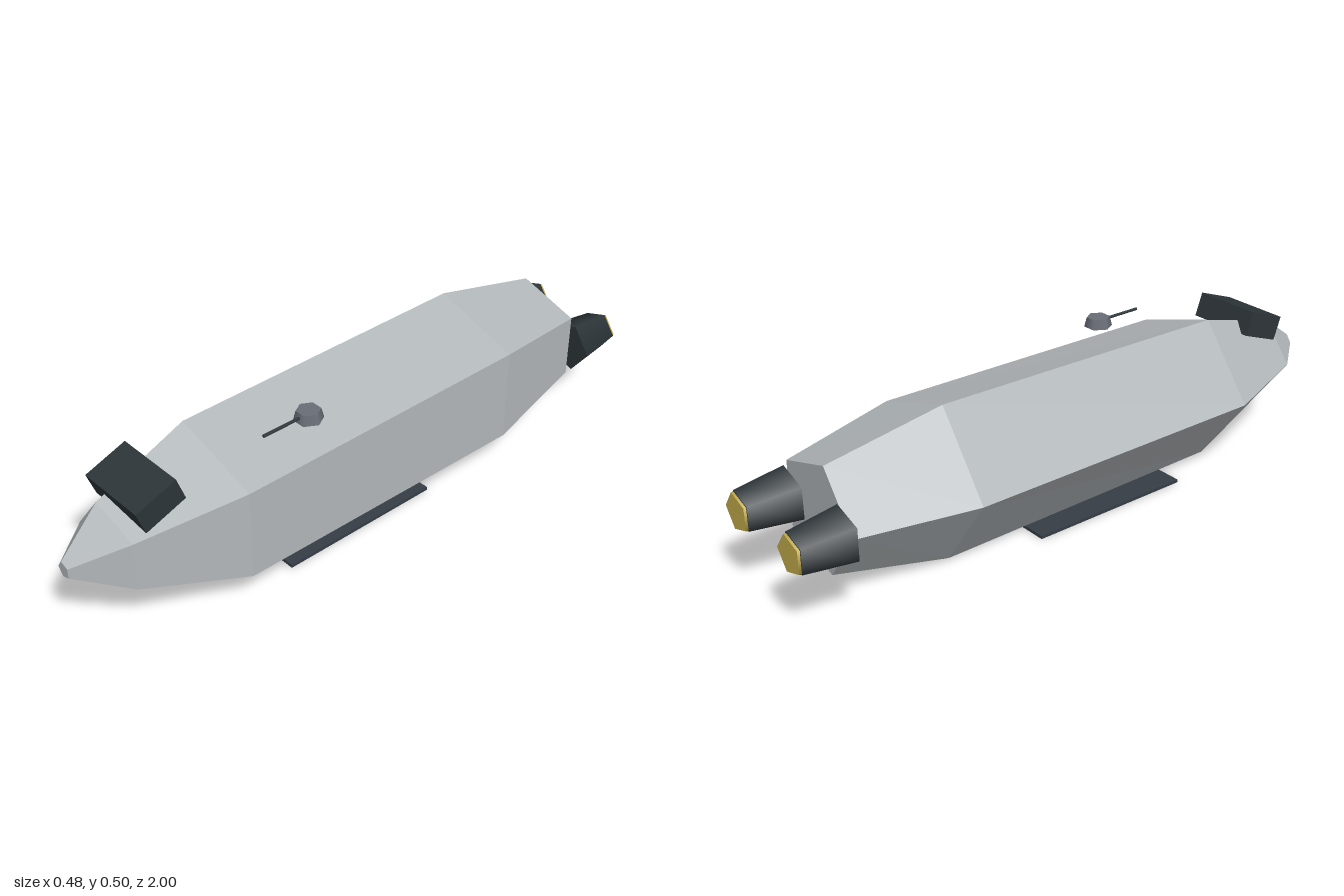
import * as THREE from 'three';

const CX = 0.014; // centreline of the hull

const mat = (name, color, extra = {}) => {
  const m = new THREE.MeshStandardMaterial({ color, ...extra });
  m.name = name;
  return m;
};

// Five-sided hull lofted through stations of [z, rx, ry, yCentre], rear to front
function hullGeometry(stations) {
  const rings = stations.map(([z, rx, ry, yc]) =>
    Array.from({ length: 5 }, (_, k) => {
      const a = Math.PI + (k * 2 * Math.PI) / 5;
      return [CX + rx * Math.cos(a), yc + ry * Math.sin(a), z];
    }));
  const pos = [];
  const tri = (...pts) => pts.forEach((p) => pos.push(...p));
  for (let i = 0; i < rings.length - 1; i++) {
    for (let k = 0; k < 5; k++) {
      const n = (k + 1) % 5;
      const [a, b, c, d] = [rings[i][k], rings[i][n], rings[i + 1][n], rings[i + 1][k]];
      tri(a, b, c);
      tri(a, c, d);
    }
  }
  // End caps
  const rear = rings[0], front = rings[rings.length - 1];
  for (let k = 1; k < 4; k++) {
    tri(rear[0], rear[k + 1], rear[k]);
    tri(front[0], front[k], front[k + 1]);
  }
  const g = new THREE.BufferGeometry();
  g.setAttribute('position', new THREE.Float32BufferAttribute(pos, 3));
  g.computeVertexNormals();
  return g;
}

// Five-sided frustum lying along z, its rTop end pointing backwards
const rearFrustum = (rTop, rBottom, length) =>
  new THREE.CylinderGeometry(rTop, rBottom, length, 5).rotateY(Math.PI / 2).rotateX(-Math.PI / 2);

export function createModel() {
  const group = new THREE.Group();
  group.name = 'spaceship';

  const hullGrey = mat('hullGrey', 0xb2b7ba);
  const darkSlate = mat('darkSlate', 0x2d3539);
  const plateSlate = mat('plateSlate', 0x363d46);
  const turretGrey = mat('turretGrey', 0x696d77);
  const exhaustGold = mat('exhaustGold', 0xc8b04c);

  const add = (name, geometry, material, x, y, z) => {
    const mesh = new THREE.Mesh(geometry, material);
    mesh.name = name;
    mesh.position.set(x, y, z);
    group.add(mesh);
    return mesh;
  };

  add('hull', hullGeometry([
    [-0.835, 0.18, 0.175, 0.254],
    [-0.47, 0.255, 0.255, 0.252],
    [0.54, 0.255, 0.243, 0.252],
    [0.855, 0.143, 0.131, 0.265],
    [1.0, 0.025, 0.026, 0.265],
  ]), hullGrey, 0, 0, 0);

  // Tilted bridge block above the nose
  add('bridge', new THREE.BoxGeometry(0.23, 0.078, 0.14), darkSlate, CX, 0.416, 0.758)
    .rotation.x = 0.35;

  // Flat plate under the belly
  add('bellyPlate', new THREE.BoxGeometry(0.307, 0.01, 0.55), plateSlate, CX, 0.005, 0.085);

  // Gun turret
  add('turret', new THREE.CylinderGeometry(0.036, 0.044, 0.03, 6).rotateY(Math.PI / 6),
    turretGrey, 0.142, 0.485, 0.265);
  add('gunBarrel', new THREE.CylinderGeometry(0.005, 0.005, 0.16, 6).rotateX(Math.PI / 2),
    darkSlate, 0.142, 0.486, 0.345);

  // Twin engines with glowing exhausts
  for (const [side, s] of [['left', 1], ['right', -1]]) {
    const x = CX + s * 0.14;
    add(side + 'Engine', rearFrustum(0.063, 0.084, 0.157), darkSlate, x, 0.253, -0.9135);
    add(side + 'Exhaust', rearFrustum(0.059, 0.059, 0.009), exhaustGold, x, 0.253, -0.9955);
  }

  return group;
}
